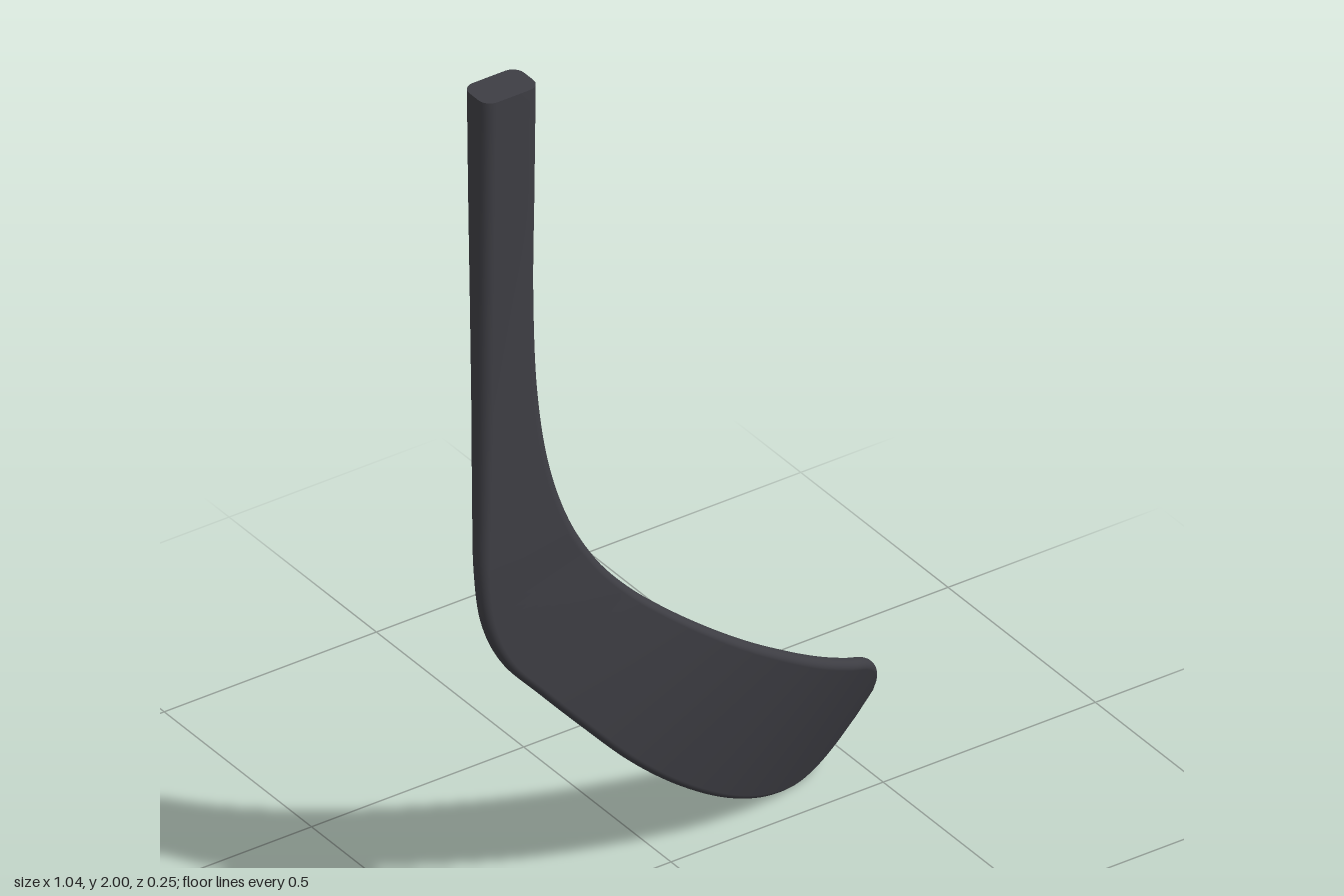
import * as THREE from 'three';

// Stations from shaft top to toe: lower edge xyz, upper edge xyz, thickness
const STATIONS = [
  [-.522, 2, .083, -.393, 2, .083, .084],
  [-.522, 1.75, .083, -.393, 1.75, .083, .075],
  [-.522, 1.5, .084, -.393, 1.52, .084, .065],
  [-.522, 1.25, .085, -.383, 1.3, .085, .056],
  [-.522, 1.05, .086, -.358, 1.12, .086, .049],
  [-.520, .9, .087, -.31, .965, .086, .043],
  [-.503, .775, .087, -.242, .84, .084, .039],
  [-.455, .67, .085, -.165, .745, .083, .036],
  [-.37, .57, .081, -.075, .66, .082, .034],
  [-.26, .447, .071, .03, .573, .077, .033],
  [-.14, .318, .053, .14, .49, .064, .033],
  [-.01, .2, .020, .25, .415, .044, .033],
  [.12, .103, -.018, .34, .358, .023, .033],
  [.24, .035, -.061, .42, .312, -.002, .032],
  [.34, .004, -.098, .475, .282, -.024, .031],
  [.405, .018, -.112, .503, .255, -.040, .030],
  [.452, .055, -.111, .517, .222, -.055, .027],
  [.49, .105, -.098, .522, .185, -.070, .020],
];
const CORNER_STEPS = 6;
const RINGS = 120;

// Rounded rectangle outline, counter-clockwise
function section(width, thickness) {
  const r = Math.min(.026, thickness * .46, width * .46);
  const points = [];
  [[1, 1], [-1, 1], [-1, -1], [1, -1]].forEach(([sx, sy], q) => {
    for (let i = 0; i <= CORNER_STEPS; i++) {
      const a = (q + i / CORNER_STEPS) * Math.PI / 2;
      points.push([
        sx * (width / 2 - r) + r * Math.cos(a),
        sy * (thickness / 2 - r) + r * Math.sin(a),
      ]);
    }
  });
  return points;
}

function curveThrough(pick) {
  return new THREE.CatmullRomCurve3(STATIONS.map(pick), false, 'catmullrom', .5);
}

function stickGeometry() {
  const lower = curveThrough(s => new THREE.Vector3(s[0], s[1], s[2]));
  const upper = curveThrough(s => new THREE.Vector3(s[3], s[4], s[5]));
  const thick = curveThrough(s => new THREE.Vector3(s[6], 0, 0));
  const middle = t => lower.getPoint(t).add(upper.getPoint(t)).multiplyScalar(.5);
  const positions = [], indices = [];
  const n = 4 * (CORNER_STEPS + 1);

  // Loft the section along both edges
  for (let i = 0; i <= RINGS; i++) {
    const t = i / RINGS;
    const a = lower.getPoint(t), b = upper.getPoint(t);
    const across = b.clone().sub(a);
    const width = across.length();
    across.normalize();
    const along = middle(Math.min(1, t + .004)).sub(middle(Math.max(0, t - .004)));
    const normal = along.cross(across).normalize();
    const centre = middle(t);
    for (const [u, v] of section(width, thick.getPoint(t).x)) {
      const p = centre.clone().addScaledVector(across, u).addScaledVector(normal, v);
      positions.push(p.x, Math.max(0, p.y), p.z);
    }
  }
  for (let i = 0; i < RINGS; i++) {
    for (let j = 0; j < n; j++) {
      const k = (j + 1) % n;
      const a = i * n + j, b = i * n + k, c = a + n, d = b + n;
      indices.push(a, b, c, b, d, c);
    }
  }

  // Flat cut at the shaft top with its own vertices, smooth cap at the toe
  const top = positions.length / 3;
  positions.push(...positions.slice(0, n * 3));
  const topCentre = middle(0), toeCentre = middle(1);
  positions.push(topCentre.x, topCentre.y, topCentre.z);
  positions.push(toeCentre.x + .002, toeCentre.y, toeCentre.z);
  for (let j = 0; j < n; j++) {
    const k = (j + 1) % n;
    indices.push(top + n, top + k, top + j);
    indices.push(top + n + 1, RINGS * n + j, RINGS * n + k);
  }

  const geometry = new THREE.BufferGeometry();
  geometry.setAttribute('position', new THREE.Float32BufferAttribute(positions, 3));
  geometry.setIndex(indices);
  geometry.computeVertexNormals();
  return geometry;
}

export function createModel() {
  const group = new THREE.Group();
  group.name = 'hockeyStickBlade';
  const stick = new THREE.Mesh(
    stickGeometry(),
    new THREE.MeshStandardMaterial({ color: 0x3e3e44 }),
  );
  stick.name = 'shaftAndBlade';
  group.add(stick);
  return group;
}
